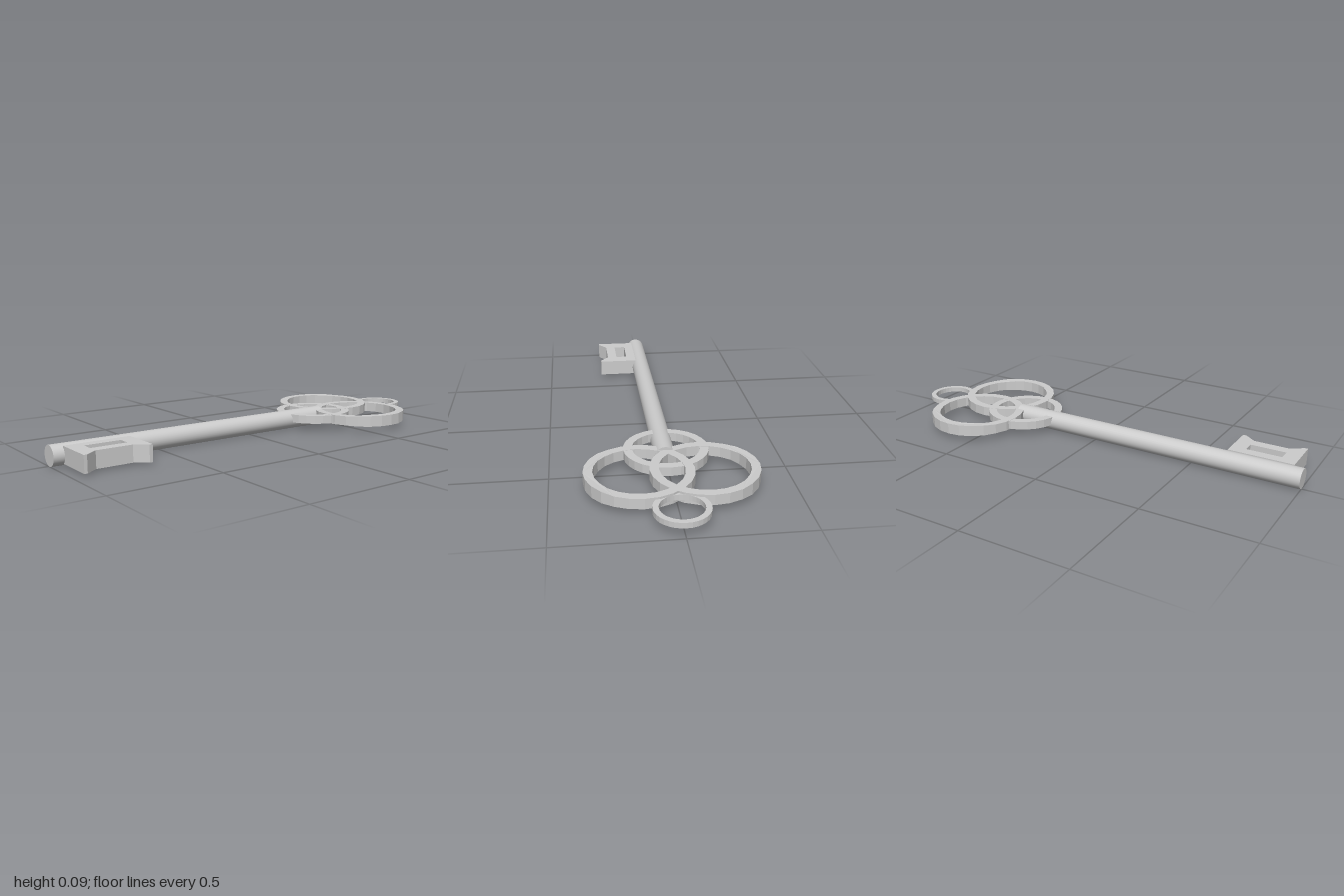
import * as THREE from 'three';

const smooth = new THREE.MeshStandardMaterial({ color: 0xcccccc });
const faceted = new THREE.MeshStandardMaterial({ color: 0xcccccc, flatShading: true });

// Extrude a plan drawn in (x, z) between two heights
function slab(shape, bottom, top, curveSegments = 12) {
  const geometry = new THREE.ExtrudeGeometry(shape, { depth: top - bottom, bevelEnabled: false, curveSegments });
  geometry.rotateX(Math.PI / 2);
  geometry.translate(0, top, 0);
  return geometry;
}

// Flat ring with a rectangular section, lying in the ground plane
function ring(x, z, outer, inner, bottom, top, curveSegments) {
  const shape = new THREE.Shape().absarc(x, z, outer, 0, Math.PI * 2, false);
  shape.holes.push(new THREE.Path().absarc(x, z, inner, 0, Math.PI * 2, true));
  return slab(shape, bottom, top, curveSegments);
}

export function createModel() {
  const group = new THREE.Group();
  const add = (name, geometry, material = faceted) => {
    const mesh = new THREE.Mesh(geometry, material);
    mesh.name = name;
    group.add(mesh);
  };

  // Round shaft
  const shaft = new THREE.CylinderGeometry(0.045, 0.045, 1.44, 32);
  shaft.rotateX(Math.PI / 2);
  shaft.translate(0.008, 0.045, 0.28);
  add('shaft', shaft, smooth);

  // Pair of large bow rings, slightly thicker at their outer sides
  for (const side of [-1, 1]) {
    const geometry = ring(side * 0.134, -0.605, 0.227, 0.188, 0.031, 0.076, 12);
    const p = geometry.attributes.position;
    for (let i = 0; i < p.count; i++) {
      const swell = 1 + 0.15 * THREE.MathUtils.smoothstep(side * p.getX(i), 0.26, 0.31);
      p.setY(i, 0.0535 + (p.getY(i) - 0.0535) * swell);
    }
    add(side > 0 ? 'leftBowRing' : 'rightBowRing', geometry);
  }

  // Smaller ring around the shaft's end, and the hanging loop
  add('collarRing', ring(0.002, -0.412, 0.183, 0.145, 0.036, 0.075, 14));
  add('hangingLoop', ring(0, -0.888, 0.112, 0.088, 0.044, 0.067, 16));

  // Bit with a notched outer edge and a rectangular window
  const outline = [[0.036, 0.652], [0.226, 0.652], [0.226, 0.667], [0.186, 0.72],
    [0.186, 0.883], [0.226, 0.938], [0.226, 0.952], [0.036, 0.952]];
  const bit = new THREE.Shape(outline.map(([x, z]) => new THREE.Vector2(x, z)));
  const window = [[0.083, 0.72], [0.083, 0.883], [0.138, 0.883], [0.138, 0.72]];
  bit.holes.push(new THREE.Path(window.map(([x, z]) => new THREE.Vector2(x, z))));
  add('bit', slab(bit, 0.01, 0.085));

  return group;
}
